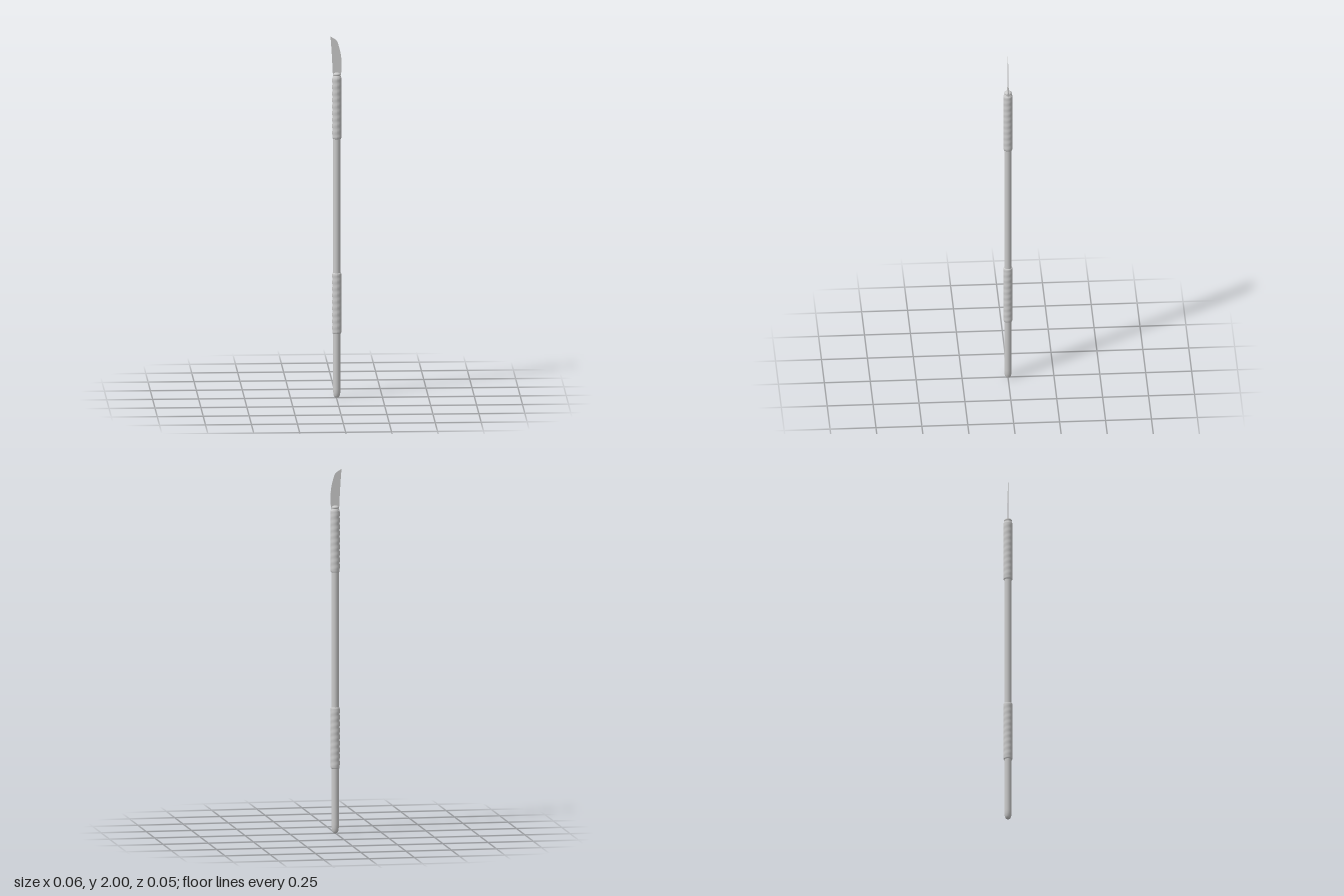
import * as THREE from 'three';

export function createModel() {
  const group = new THREE.Group();
  const cx = 0.002; // pole axis
  const mat = new THREE.MeshStandardMaterial({ color: 0xcccccc });
  const add = (name, geo, material = mat) => {
    const mesh = new THREE.Mesh(geo, material);
    mesh.name = name;
    group.add(mesh);
    return mesh;
  };
  const lathe = (name, pts) => {
    const mesh = add(name, new THREE.LatheGeometry(pts.map(([r, y]) => new THREE.Vector2(r, y)), 32));
    mesh.position.x = cx;
    return mesh;
  };

  // Long pole with a rounded butt
  lathe('pole', [[0, 0], [0.008, 0.001], [0.013, 0.005], [0.017, 0.014], [0.0195, 0.03], [0.02, 0.05],
    [0.02, 0.9], [0.02, 1.77]]);

  // Wrapped grips: sleeves with a shallow spiral ridge
  const grip = (name, y0, y1) => {
    const pts = [[0.019, y0], [0.023, y0 + 0.001], [0.0245, y0 + 0.006]];
    const rows = 60;
    for (let i = 1; i < rows; i++) pts.push([0.025, y0 + 0.006 + (y1 - y0 - 0.012) * i / rows]);
    pts.push([0.0245, y1 - 0.006], [0.023, y1 - 0.001], [0.019, y1]);
    const mesh = lathe(name, pts);
    const p = mesh.geometry.attributes.position;
    for (let i = 0; i < p.count; i++) {
      const x = p.getX(i), y = p.getY(i), z = p.getZ(i);
      if (Math.hypot(x, z) < 0.0248) continue;
      const s = 1 + 0.025 * Math.sin(y * Math.PI * 2 / 0.036 + Math.atan2(z, x));
      p.setXYZ(i, x * s, y, z * s);
    }
    mesh.geometry.computeVertexNormals();
  };
  grip('lowerGrip', 0.355, 0.692);
  grip('upperGrip', 1.433, 1.776);

  // Collar and domed cap that hold the blade
  lathe('collar', [[0.021, 1.765], [0.0225, 1.772], [0.0215, 1.779], [0.018, 1.782], [0.018, 1.784],
    [0.0205, 1.786], [0.0205, 1.791], [0.017, 1.796], [0.009, 1.799], [0, 1.8]]);

  // Curved blade, tapering in thickness towards the tip
  const s = new THREE.Shape();
  s.moveTo(-0.019, 1.775);
  s.lineTo(0.022, 1.775);
  s.lineTo(0.027, 1.805);
  s.bezierCurveTo(0.031, 1.88, 0.022, 1.915, 0.013, 1.945);
  s.bezierCurveTo(0.007, 1.968, 0.002, 1.979, -0.01, 1.985);
  s.lineTo(-0.033, 2);
  s.bezierCurveTo(-0.027, 1.94, -0.023, 1.86, -0.019, 1.775);
  const blade = new THREE.ExtrudeGeometry(s, { depth: 1, bevelEnabled: false, curveSegments: 12 });
  blade.translate(0, 0, -0.5);
  const bp = blade.attributes.position;
  for (let i = 0; i < bp.count; i++) {
    const t = (bp.getY(i) - 1.775) / 0.225;
    bp.setZ(i, bp.getZ(i) * (0.006 - 0.004 * t));
  }
  blade.computeVertexNormals();
  add('blade', blade);

  return group;
}
